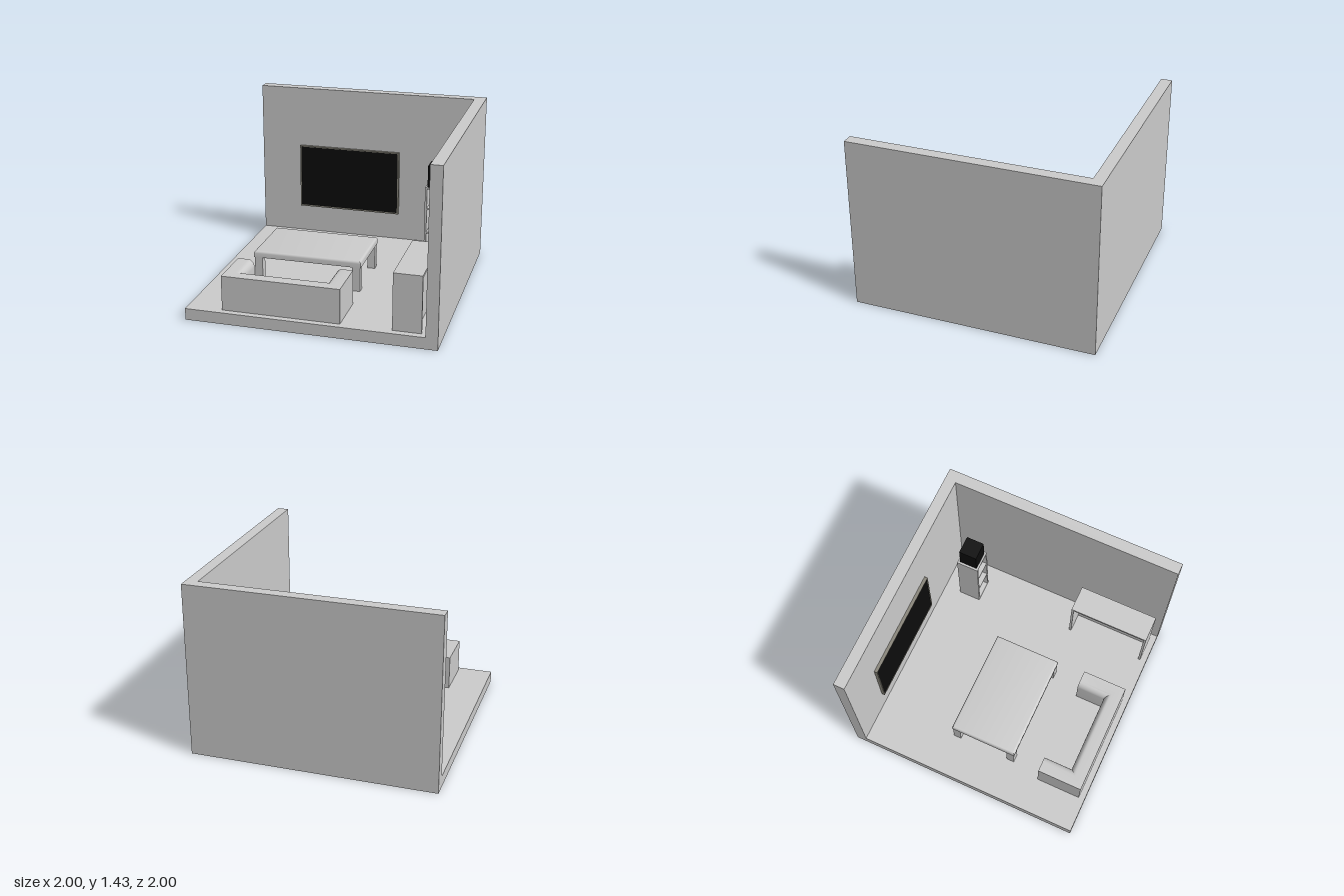
import * as THREE from 'three';
import { toCreasedNormals } from 'three/addons/utils/BufferGeometryUtils.js';

const FLOOR = 0.095;
const grey = new THREE.MeshStandardMaterial({ color: 0xcccccc });
const black = new THREE.MeshStandardMaterial({ color: 0x0c0c0c });
const bronze = new THREE.MeshStandardMaterial({ color: 0x8a877c });

function add(parent, name, geometry, material = grey) {
  const mesh = new THREE.Mesh(geometry, material);
  mesh.name = name;
  parent.add(mesh);
  return mesh;
}

// Box given by its min and max on each axis
function box(parent, name, [x0, x1], [y0, y1], [z0, z1], material) {
  const mesh = add(parent, name, new THREE.BoxGeometry(x1 - x0, y1 - y0, z1 - z0), material);
  mesh.position.set((x0 + x1) / 2, (y0 + y1) / 2, (z0 + z1) / 2);
  return mesh;
}

function group(parent, name) {
  const g = new THREE.Group();
  g.name = name;
  parent.add(g);
  return g;
}

function rectPath(Type, x0, x1, y0, y1) {
  const p = new Type();
  p.moveTo(x0, y0).lineTo(x1, y0).lineTo(x1, y1).lineTo(x0, y1).closePath();
  return p;
}

// Flat panel with rectangular openings, from z0 to z1
function panel(parent, name, outer, holes, [z0, z1], material) {
  const shape = rectPath(THREE.Shape, ...outer);
  holes.forEach((h) => shape.holes.push(rectPath(THREE.Path, ...h)));
  const geo = new THREE.ExtrudeGeometry(shape, { depth: z1 - z0, bevelEnabled: false });
  geo.translate(0, 0, z0);
  return add(parent, name, geo, material);
}

// Loft a closed loop through rings of points, with fan caps on both ends
function loft(rings) {
  const n = rings[0].length;
  const pos = rings.flat(2);
  const index = [];
  for (let r = 0; r < rings.length - 1; r++) {
    for (let i = 0; i < n; i++) {
      const a = r * n + i, b = r * n + (i + 1) % n;
      index.push(a, a + n, b, b, a + n, b + n);
    }
  }
  const last = (rings.length - 1) * n;
  for (let i = 1; i < n - 1; i++) {
    index.push(0, i, i + 1, last, last + i + 1, last + i);
  }
  const geo = new THREE.BufferGeometry();
  geo.setAttribute('position', new THREE.Float32BufferAttribute(pos, 3));
  geo.setIndex(index);
  return toCreasedNormals(geo, 0.6);
}

// U-shaped sofa shell: one profile with a rounded inner top edge, mitred at the corners
function sofaShell() {
  const x0 = -0.712, x1 = 0.237, zFront = 0.57, zBack = 0.948, width = 0.137, top = 0.38;
  const profile = [[0, FLOOR], [0, top]];
  for (let i = 0; i <= 6; i++) {
    const t = (i / 6) * Math.PI / 2;
    profile.push([width - 0.05 + 0.05 * Math.sin(t), top - 0.06 + 0.06 * Math.cos(t)]);
  }
  profile.push([width, FLOOR]);
  return loft([
    profile.map(([d, y]) => [x0 + d, y, zFront]),
    profile.map(([d, y]) => [x0 + d, y, zBack - d]),
    profile.map(([d, y]) => [x1 - d, y, zBack - d]),
    profile.map(([d, y]) => [x1 - d, y, zFront]),
  ]);
}

// Table slab whose upper edges are rounded over
function tableSlab(x0, x1, z0, z1, y0, y1, r) {
  const ring = (inset, y) => [
    [x0 + inset, y, z0 + inset], [x0 + inset, y, z1 - inset],
    [x1 - inset, y, z1 - inset], [x1 - inset, y, z0 + inset],
  ];
  const rings = [ring(0, y0)];
  for (let i = 0; i <= 4; i++) {
    const t = (i / 4) * Math.PI / 2;
    rings.push(ring(r * (1 - Math.cos(t)), y1 - r + r * Math.sin(t)));
  }
  // Rings run upwards, so reverse them to face the loft outwards
  return loft(rings.reverse());
}

export function createModel() {
  const room = new THREE.Group();
  room.name = 'livingRoom';

  // Floor slab and two walls
  box(room, 'floor', [-1, 0.905], [0, FLOOR], [-0.907, 1]);
  box(room, 'backWall', [-1, 1], [0, 1.43], [-1, -0.907]);
  box(room, 'sideWall', [0.905, 1], [0, 1.43], [-0.907, 1]);

  // Wall-mounted television
  const tv = group(room, 'television');
  panel(tv, 'screenFrame', [-0.645, 0.265, 0.335, 0.905], [[-0.635, 0.253, 0.347, 0.897]], [-0.907, -0.88], bronze);
  box(tv, 'screen', [-0.635, 0.253], [0.347, 0.897], [-0.907, -0.884], black);

  // Sofa
  add(room, 'sofa', sofaShell());

  // Coffee table with four legs
  const table = group(room, 'coffeeTable');
  const tx = [-0.665, 0.235], tz = [-0.24, 0.33], leg = 0.065;
  add(table, 'tableTop', tableSlab(...tx, ...tz, 0.3, 0.355, 0.02));
  for (const x of [tx[0] + 0.005, tx[1] - 0.005 - leg]) {
    for (const z of [tz[0] + 0.005, tz[1] - 0.005 - leg]) {
      box(table, 'tableLeg', [x, x + leg], [FLOOR, 0.3], [z, z + leg]);
    }
  }

  // Corner shelf with three open bays and a dark box on top
  const shelf = group(room, 'cornerShelf');
  const bays = [[0.105, 0.3], [0.312, 0.515], [0.528, 0.7]].map((b) => [0.583, 0.738, ...b]);
  panel(shelf, 'shelfFrame', [0.565, 0.755, FLOOR, 0.715], bays, [-0.75, -0.577]);
  box(shelf, 'shelfBack', [0.565, 0.755], [FLOOR, 0.715], [-0.765, -0.75]);
  box(shelf, 'darkBox', [0.583, 0.735], [0.715, 0.905], [-0.745, -0.593], black);

  // Low desk along the side wall, open towards the room
  const desk = group(room, 'sideDesk');
  const dx = [0.64, 0.865];
  box(desk, 'deskTop', dx, [0.54, 0.56], [0.265, 0.945]);
  box(desk, 'deskEnd', dx, [FLOOR, 0.54], [0.265, 0.285]);
  box(desk, 'deskEnd', dx, [FLOOR, 0.54], [0.925, 0.945]);
  box(desk, 'deskBack', [0.8, 0.82], [FLOOR, 0.54], [0.285, 0.925]);

  return room;
}
